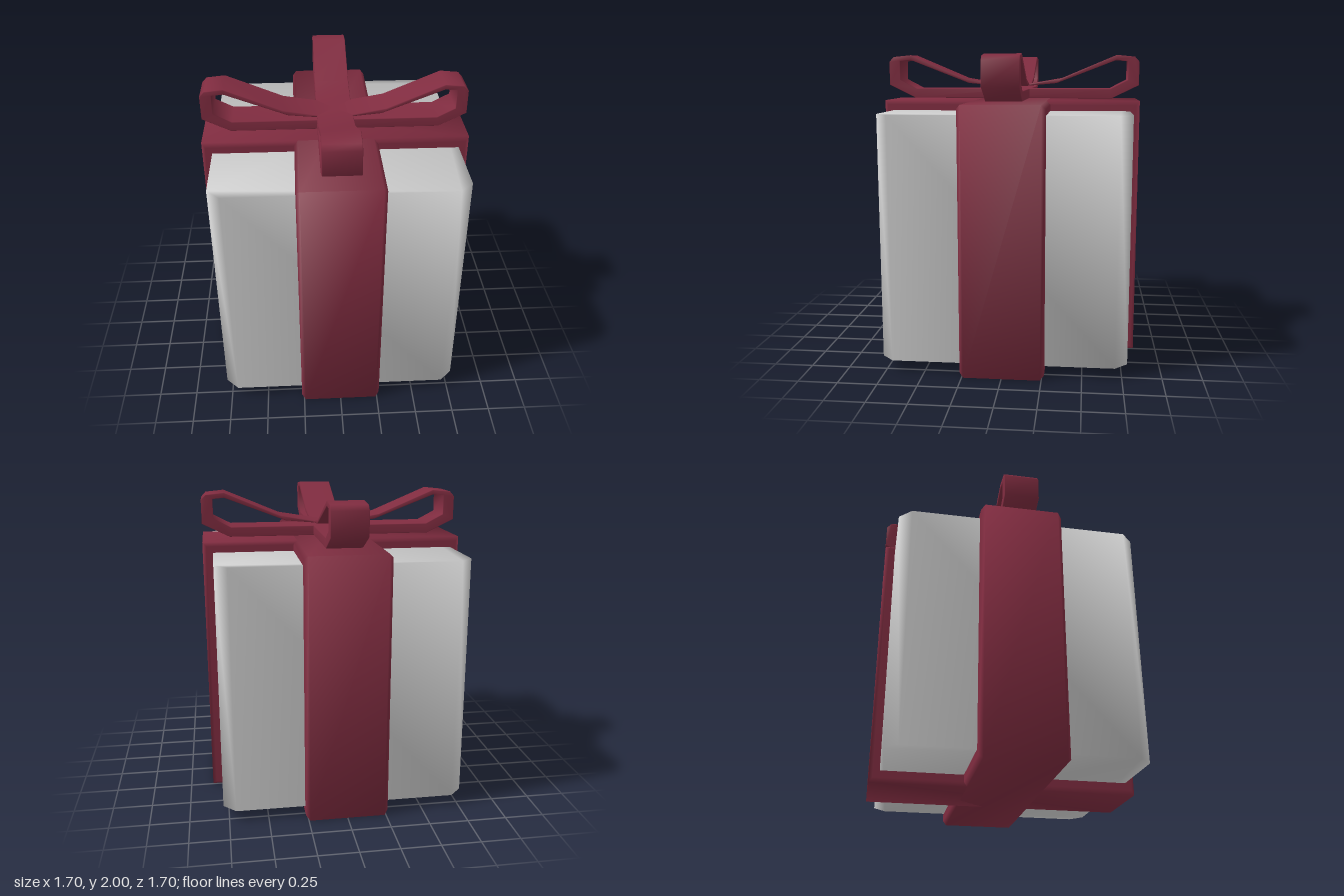
import * as THREE from 'three';
import { mergeVertices } from 'three/addons/utils/BufferGeometryUtils.js';

const grey = new THREE.MeshStandardMaterial({ color: 0xcccccc });
const red = new THREE.MeshStandardMaterial({ color: 0x802c40 });

const points = (list) => list.map(([x, y]) => new THREE.Vector2(x, y));

// Shares vertices so shading flows softly over the edges
function smooth(geometry) {
  geometry.deleteAttribute('uv');
  geometry.deleteAttribute('normal');
  const merged = mergeVertices(geometry, 1e-4);
  merged.computeVertexNormals();
  return merged;
}

// Extrudes an outline to a total width, centred on z, with a small chamfer inside that width
function slab(shape, width, bevel) {
  const geometry = new THREE.ExtrudeGeometry(shape, {
    depth: width - 2 * bevel, bevelEnabled: bevel > 0, bevelThickness: bevel,
    bevelSize: bevel, bevelOffset: -bevel, bevelSegments: 1,
  });
  geometry.translate(0, 0, -width / 2 + bevel);
  return smooth(geometry);
}

// Mirrors a half outline (running from the middle outwards and back) across x = 0
function mirrored(half) {
  return points([...half, ...half.slice().reverse().map(([x, y]) => [-x, y])]);
}

function add(parent, name, geometry, material) {
  const mesh = new THREE.Mesh(geometry, material);
  mesh.name = name;
  parent.add(mesh);
  return mesh;
}

export function createModel() {
  const model = new THREE.Group();
  model.name = 'giftBox';

  // Box with chamfered upright edges
  const s = 0.785, c = 0.705;
  const footprint = new THREE.Shape(points([
    [c, -s], [s, -c], [s, c], [c, s], [-c, s], [-s, c], [-s, -c], [-c, -s],
  ]));
  const boxGeometry = slab(footprint, 1.565, 0);
  boxGeometry.rotateX(-Math.PI / 2);
  const box = add(model, 'box', boxGeometry, grey);
  box.position.y = 0.07 + 1.565 / 2;

  // Wide ribbon bands crossing around the box
  const bandShape = new THREE.Shape(points([[-0.85, 0], [0.85, 0], [0.85, 1.7], [-0.85, 1.7]]));
  const bandGeometry = slab(bandShape, 0.532, 0.025);

  // Bow: a strip with a loop at each end, pinched thin over the middle
  const bowShape = new THREE.Shape(mirrored([
    [0.02, 1.712], [0.67, 1.712], [0.85, 1.80], [0.85, 1.955], [0.82, 1.988],
    [0.70, 2.0], [0.33, 1.845], [0.11, 1.808], [0.02, 1.806],
  ]));
  bowShape.holes.push(new THREE.Path(mirrored([
    [0.02, 1.775], [0.66, 1.775], [0.775, 1.835], [0.775, 1.96],
    [0.70, 1.967], [0.30, 1.813], [0.11, 1.795], [0.02, 1.793],
  ])));
  const bowGeometry = slab(bowShape, 0.23, 0.004);

  ['Sideways', 'Lengthways'].forEach((direction, i) => {
    const band = add(model, 'ribbon' + direction, bandGeometry, red);
    const bow = add(model, 'bow' + direction, bowGeometry, red);
    band.rotation.y = bow.rotation.y = i * Math.PI / 2;
  });

  return model;
}
